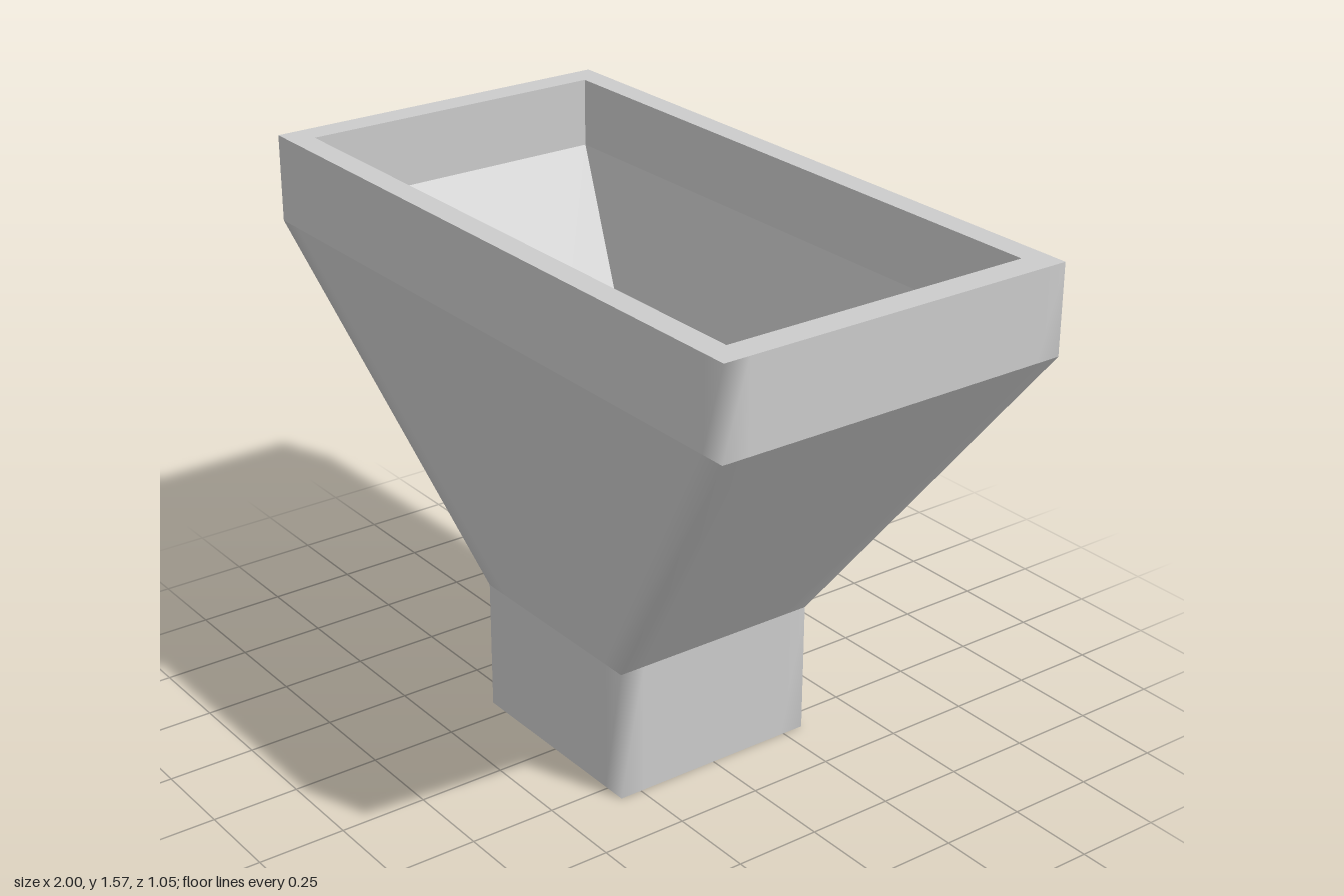
import * as THREE from 'three';

const INSET = 0.075; // width of the softly shaded strip beside each outer corner

// Rectangular loop; soft loops get extra points beside every corner
function ring([y, hx, hz], soft) {
  const pts = [];
  const c = soft ? INSET : 0;
  const corners = [[1, 1], [1, -1], [-1, -1], [-1, 1]];
  corners.forEach(([sx, sz], i) => {
    const alongX = [sx * (hx - c), y, sz * hz];
    const alongZ = [sx * hx, y, sz * (hz - c)];
    const corner = [sx * hx, y, sz * hz];
    if (!soft) pts.push(corner);
    else if (i % 2 === 0) pts.push(alongX, corner, alongZ);
    else pts.push(alongZ, corner, alongX);
  });
  return pts;
}

// Band of faces between two loops
function band(from, to, soft) {
  const a = ring(from, soft), b = ring(to, soft), n = a.length;
  const index = [];
  for (let i = 0; i < n; i++) {
    const j = (i + 1) % n;
    index.push(i, j, n + j, i, n + j, n + i);
  }
  let geo = new THREE.BufferGeometry();
  geo.setAttribute('position', new THREE.Float32BufferAttribute([...a, ...b].flat(), 3));
  geo.setIndex(index);
  if (!soft) geo = geo.toNonIndexed();
  geo.computeVertexNormals();
  return geo;
}

export function createModel() {
  const group = new THREE.Group();
  const material = new THREE.MeshStandardMaterial({ color: 0xcccccc });

  // Wall profile [y, half width, half depth], from the spout ceiling
  // down, around the outside and back down into the bin
  const profile = [
    [0.41, 0, 0],
    [0.41, 0.24, 0.24],
    [0, 0.24, 0.24],
    [0, 0.315, 0.315],
    [0.385, 0.315, 0.315],
    [1.32, 1, 0.527],
    [1.57, 1, 0.527],
    [1.57, 0.92, 0.457],
    [1.37, 0.92, 0.457],
    [0.45, 0.21, 0.213],
    [0.45, 0, 0],
  ];
  const names = [
    'spoutCeiling', 'spoutInside', 'spoutBottomEdge', 'spoutOutside', 'funnelOutside',
    'collarOutside', 'topRim', 'collarInside', 'funnelInside', 'binFloor',
  ];

  names.forEach((name, i) => {
    const mesh = new THREE.Mesh(band(profile[i], profile[i + 1], name.endsWith('Outside')), material);
    mesh.name = name;
    group.add(mesh);
  });

  return group;
}
